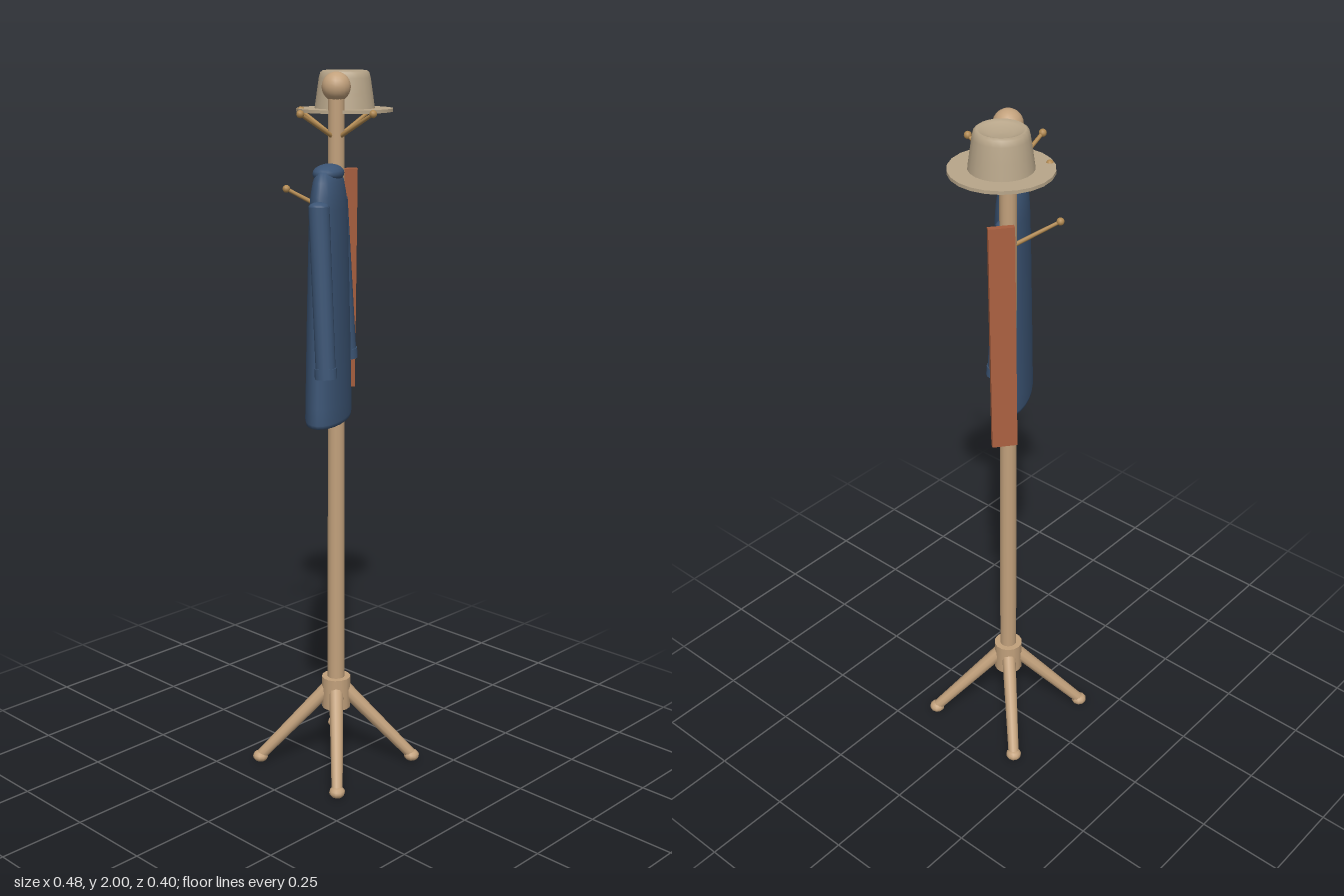
import * as THREE from 'three';

const mat = (color) => new THREE.MeshStandardMaterial({ color });
const wood = mat(0xc2a17c), brass = mat(0xb08850), cloth = mat(0x3c5575);
const felt = mat(0xb8a68a), scarfMat = mat(0xa85f3f);
const V = (x, y, z) => new THREE.Vector3(x, y, z);

function add(parent, name, geometry, material, x = 0, y = 0, z = 0) {
  const mesh = new THREE.Mesh(geometry, material);
  mesh.name = name;
  mesh.position.set(x, y, z);
  parent.add(mesh);
  return mesh;
}

// Round bar from a to b
function rod(parent, name, a, b, rA, rB, material, sides = 10) {
  const d = b.clone().sub(a);
  const mesh = add(parent, name, new THREE.CylinderGeometry(rB, rA, d.length(), sides), material);
  mesh.position.copy(a).add(b).multiplyScalar(0.5);
  mesh.quaternion.setFromUnitVectors(V(0, 1, 0), d.normalize());
  return mesh;
}

function lathe(points, sides) {
  return new THREE.LatheGeometry(points.map(([r, y]) => new THREE.Vector2(r, y)), sides);
}

// Peg with a ball tip, leaning up and out
function peg(parent, angle, y) {
  const at = (r, h) => V(r * Math.cos(angle), h, r * Math.sin(angle));
  const tip = at(0.134, y + 0.065);
  const g = new THREE.Group();
  g.name = 'peg';
  rod(g, 'pegArm', at(0.01, y), tip, 0.0065, 0.005, brass, 8);
  add(g, 'pegTip', new THREE.SphereGeometry(0.0105, 10, 8), brass, tip.x, tip.y, tip.z);
  parent.add(g);
}

function buildStand() {
  const g = new THREE.Group();
  g.name = 'stand';
  add(g, 'pole', new THREE.CylinderGeometry(0.0225, 0.025, 1.75, 14), wood, 0, 1.055, 0);
  add(g, 'finial', new THREE.SphereGeometry(0.039, 18, 14), wood, 0, 1.961, 0);
  add(g, 'hub', new THREE.CylinderGeometry(0.042, 0.042, 0.095, 14), wood, 0, 0.227, 0);

  // Four splayed legs with flattened feet
  for (const sx of [-1, 1]) for (const sz of [-1, 1]) {
    rod(g, 'leg', V(sx * 0.018, 0.235, sz * 0.018), V(sx * 0.157, 0.022, sz * 0.157), 0.021, 0.016, wood);
    const foot = add(g, 'foot', new THREE.SphereGeometry(0.023, 10, 8), wood, sx * 0.159, 0.017, sz * 0.159);
    foot.scale.y = 0.74;
  }

  // Upper ring of pegs, then two lower pegs
  for (let i = 0; i < 4; i++) peg(g, i * Math.PI / 2, 1.83);
  peg(g, -Math.PI * 0.75, 1.628);
  peg(g, Math.PI * 0.78, 1.628);
  g.position.x = 0.004;
  return g;
}

function buildHat() {
  const g = new THREE.Group();
  g.name = 'hat';
  const brim = add(g, 'hatBrim', new THREE.CylinderGeometry(0.133, 0.133, 0.009, 22), felt);
  brim.position.y = 0.0;
  // Tapered crown with a shallow dent in the top
  add(g, 'hatCrown', lathe([[0, 0.092], [0.03, 0.093], [0.052, 0.1], [0.06, 0.105], [0.067, 0.1],
    [0.071, 0.085], [0.077, 0.045], [0.083, 0.003]].reverse(), 22), felt);
  g.position.set(0.105, 1.895, -0.066);
  return g;
}

function buildCoat() {
  const g = new THREE.Group();
  g.name = 'coat';
  // Unit-width profile, flattened to an oval
  const body = add(g, 'coatBody', lathe([[0, 1.095], [0.97, 1.095], [1, 1.105], [0.985, 1.15], [0.92, 1.35],
    [0.84, 1.57], [0.79, 1.66], [0.74, 1.695], [0.64, 1.73], [0.48, 1.755], [0.25, 1.767], [0, 1.77]], 24), cloth);
  body.scale.set(0.142, 1, 0.056);
  const collar = add(g, 'collar', new THREE.SphereGeometry(1, 18, 10), cloth, 0, 1.748, 0);
  collar.scale.set(0.07, 0.024, 0.04);

  // Sleeves hang slightly outward and forward
  for (const s of [-1, 1]) {
    const top = V(s * 0.112, 1.672, 0), end = V(s * 0.133, 1.245, 0.022);
    rod(g, 'sleeve', top, end, 0.027, 0.026, cloth, 14);
    const shoulder = add(g, 'shoulder', new THREE.SphereGeometry(0.027, 14, 10), cloth, top.x, top.y, top.z);
    shoulder.scale.y = 0.5;
    const cuff = rod(g, 'cuff', end.clone().lerp(top, 0.035), end.clone().lerp(top, -0.03), 0.029, 0.029, cloth, 14);
    cuff.name = 'cuff';
  }
  g.position.set(-0.11, 0, 0.083);
  g.rotation.y = THREE.MathUtils.degToRad(32);
  return g;
}

function buildScarf() {
  // Flat hanging strip, leaning outward at the bottom
  const g = new THREE.Group();
  g.name = 'scarf';
  const strip = add(g, 'scarfStrip', new THREE.BoxGeometry(0.018, 0.626, 0.068), scarfMat);
  strip.rotation.z = 0.063;
  g.position.set(0.1125, 1.425, -0.0755);
  g.rotation.y = THREE.MathUtils.degToRad(52);
  return g;
}

export function createModel() {
  const model = new THREE.Group();
  model.name = 'coatStand';
  model.add(buildStand(), buildHat(), buildCoat(), buildScarf());
  return model;
}
